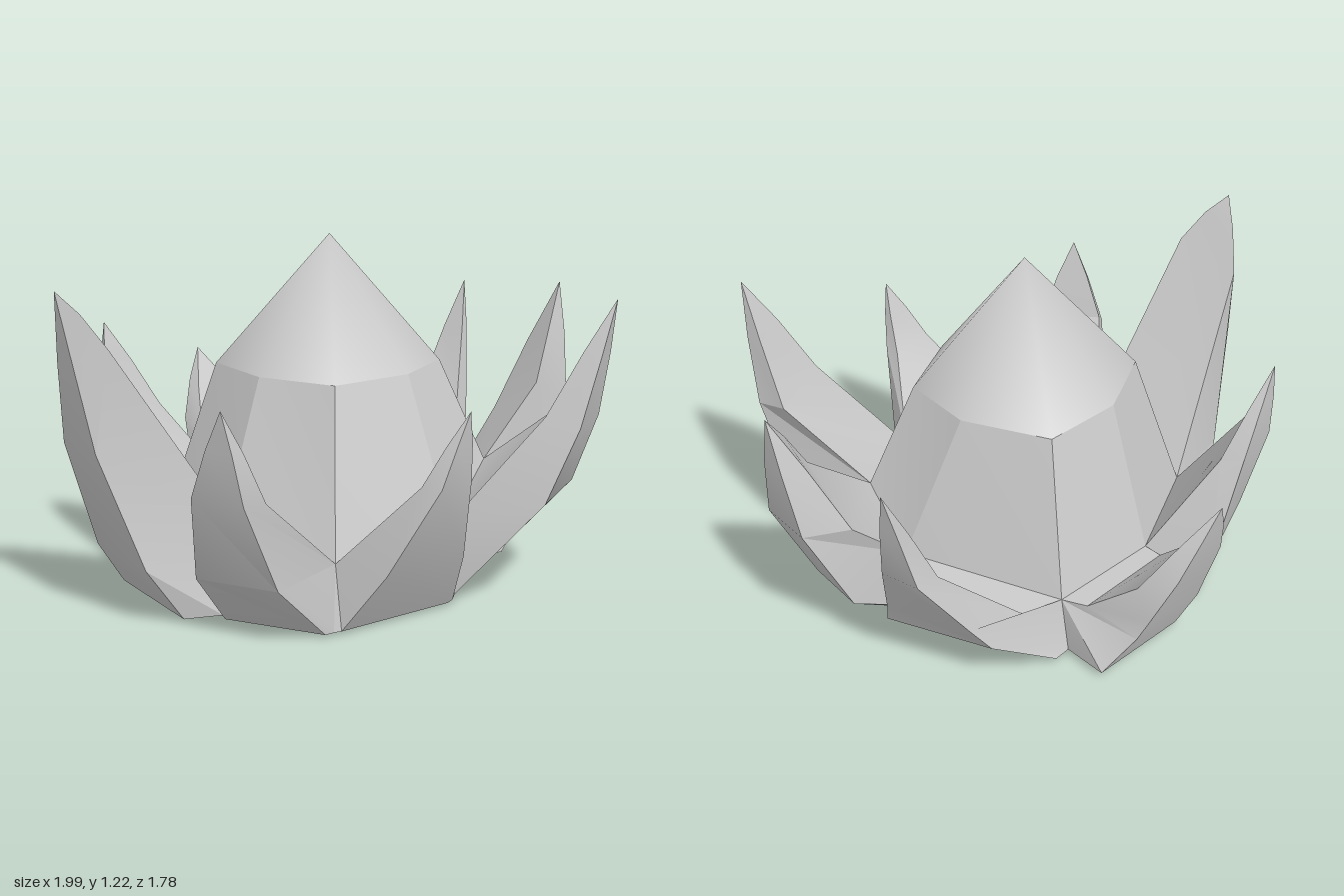
import * as THREE from 'three';
import { toCreasedNormals } from 'three/addons/utils/BufferGeometryUtils.js';

const v = (p) => new THREE.Vector3(...p);

// Corners between neighbouring petals, clockwise from the back as seen from above
const valleys = [[0, .23, -.53], [.4, .23, -.43], [.5, .25, .14], [.4, .4, .36],
  [0, .28, .5], [-.45, .23, .38], [-.53, .33, -.03], [-.43, .22, -.43]].map(v);
const feet = [[0, .02, -.56], [.4, .02, -.46], [.52, .03, .13], [.43, .04, .39],
  [0, .015, .52], [-.48, .01, .4], [-.6, .01, .02], [-.46, .01, -.46]].map(v);
// Shoulder ring of the bud
const budRing = [[0, .77, -.38], [.28, .77, -.31], [.35, .77, 0], [.27, .77, .25],
  [0, .77, .32], [-.3, .77, .25], [-.36, .77, -.03], [-.28, .77, -.31]].map(v);

// Each petal: bulge of the foot, outer knee and shoulder, two shoulder edges, tip;
// some have a low sill, a fraction of the way from valley to shoulder
const petals = [
  { bulge: 1.29, spine: [[.2, .15, -.73], [.2, .42, -.83]], edges: [[.06, .37, -.73], [.36, .37, -.69]], tip: [.2, .68, -.89], sill: .35 },
  { bulge: 1.13, spine: [[.73, .2, -.16], [.91, .55, -.15]], edges: [[.82, .54, -.23], [.82, .54, -.06]], tip: [.99, .93, -.16], sill: .32 },
  { bulge: 1.08, spine: [[.72, .19, .28], [.89, .56, .32]], edges: [[.74, .5, .17], [.67, .64, .4]], tip: [.92, .98, .33] },
  { bulge: 1, spine: [[.3, .37, .74], [.35, .62, .82]], edges: [[.48, .65, .66], [.2, .65, .74]], tip: [.38, 1.04, .89] },
  { bulge: 1.02, spine: [[-.26, .22, .6], [-.28, .52, .73]], edges: [[-.19, .52, .67], [-.37, .52, .66]], tip: [-.27, .76, .77] },
  { bulge: 1.05, spine: [[-.74, .2, .22], [-.85, .5, .25]], edges: [[-.76, .5, .37], [-.8, .55, .13]], tip: [-.88, .8, .3] },
  { bulge: 1.22, spine: [[-.79, .2, -.26], [-.94, .6, -.27]], edges: [[-.91, .93, -.15], [-.86, .88, -.4]], tip: [-1, 1.11, -.29] },
  { bulge: 1.28, spine: [[-.28, .2, -.71], [-.31, .57, -.78]], edges: [[-.44, .62, -.7], [-.19, .55, -.7]], tip: [-.37, .87, -.79] },
];

// Skin closed rings of points stacked from bottom to top
function skin(rings) {
  const pos = [];
  const tri = (a, b, c) => {
    if (new THREE.Triangle(a, b, c).getArea() > 1e-6) for (const p of [a, b, c]) pos.push(p.x, p.y, p.z);
  };
  for (let k = 0; k < rings.length - 1; k++) {
    const lo = rings[k], hi = rings[k + 1], n = lo.length;
    for (let i = 0; i < n; i++) {
      const j = (i + 1) % n;
      tri(lo[i], hi[i], hi[j]);
      tri(lo[i], hi[j], lo[j]);
    }
  }
  const geometry = new THREE.BufferGeometry();
  geometry.setAttribute('position', new THREE.Float32BufferAttribute(pos, 3));
  return geometry;
}

// Four-cornered sections: inner edge, two corners of the outer panel, inner edge
function petalRings({ bulge, spine, edges, tip, sill }, i) {
  const j = (i + 1) % 8;
  const [a, b] = edges.map(v);
  const [knee, shoulder] = spine.map(v);
  const end = v(tip);
  const foot = feet[i].clone().lerp(feet[j], .5).multiply(v([bulge, 1, bulge]));
  const footHalf = feet[j].clone().sub(feet[i]).setY(0).multiplyScalar(.45);
  const topHalf = b.clone().sub(a).setY(0).multiplyScalar(.4);
  const section = (left, right, centre, t) => {
    const half = footHalf.clone().lerp(topHalf, t);
    return [left, centre.clone().sub(half), centre.clone().add(half), right];
  };
  const rings = [
    section(feet[i], feet[j], foot, 0),
    section(valleys[i], valleys[j], knee, .4),
  ];
  if (sill) {
    const low = (valley, edge) => valley.clone().lerp(edge, sill).setY(valley.y + .005);
    rings.push(section(low(valleys[i], a), low(valleys[j], b), knee.clone().lerp(shoulder, .3), .6));
  }
  const top = section(a, b, shoulder, 1);
  // Slightly full section just below the tip
  const mid = a.clone().add(b).add(top[1]).add(top[2]).multiplyScalar(.25);
  const neck = top.map((p) => p.clone().lerp(end, .55).addScaledVector(p.clone().sub(mid), .06));
  rings.push(top, neck, Array(4).fill(end));
  return rings;
}

export function createModel() {
  const group = new THREE.Group();
  const material = new THREE.MeshStandardMaterial({ color: 0xcccccc });
  const add = (name, geometry, crease) => {
    const mesh = new THREE.Mesh(toCreasedNormals(geometry, crease), material);
    mesh.name = name;
    group.add(mesh);
  };

  // Bud: faceted body with a smooth pointed cap
  const apex = new THREE.Vector3(-.01, 1.22, -.02);
  add('budBody', skin([valleys, budRing]), .3);
  add('budCap', skin([budRing, Array(8).fill(apex)]), 2);

  // Petals, collecting their feet for the underside
  const outline = [];
  petals.forEach((petal, i) => {
    const rings = petalRings(petal, i);
    outline.push(...rings[0].slice(0, 3));
    add('petal' + (i + 1), skin(rings), .4);
  });

  // Underside
  const centre = new THREE.Vector3(0, 0, -.05);
  add('underside', skin([Array(outline.length).fill(centre), outline]), 1);
  return group;
}
